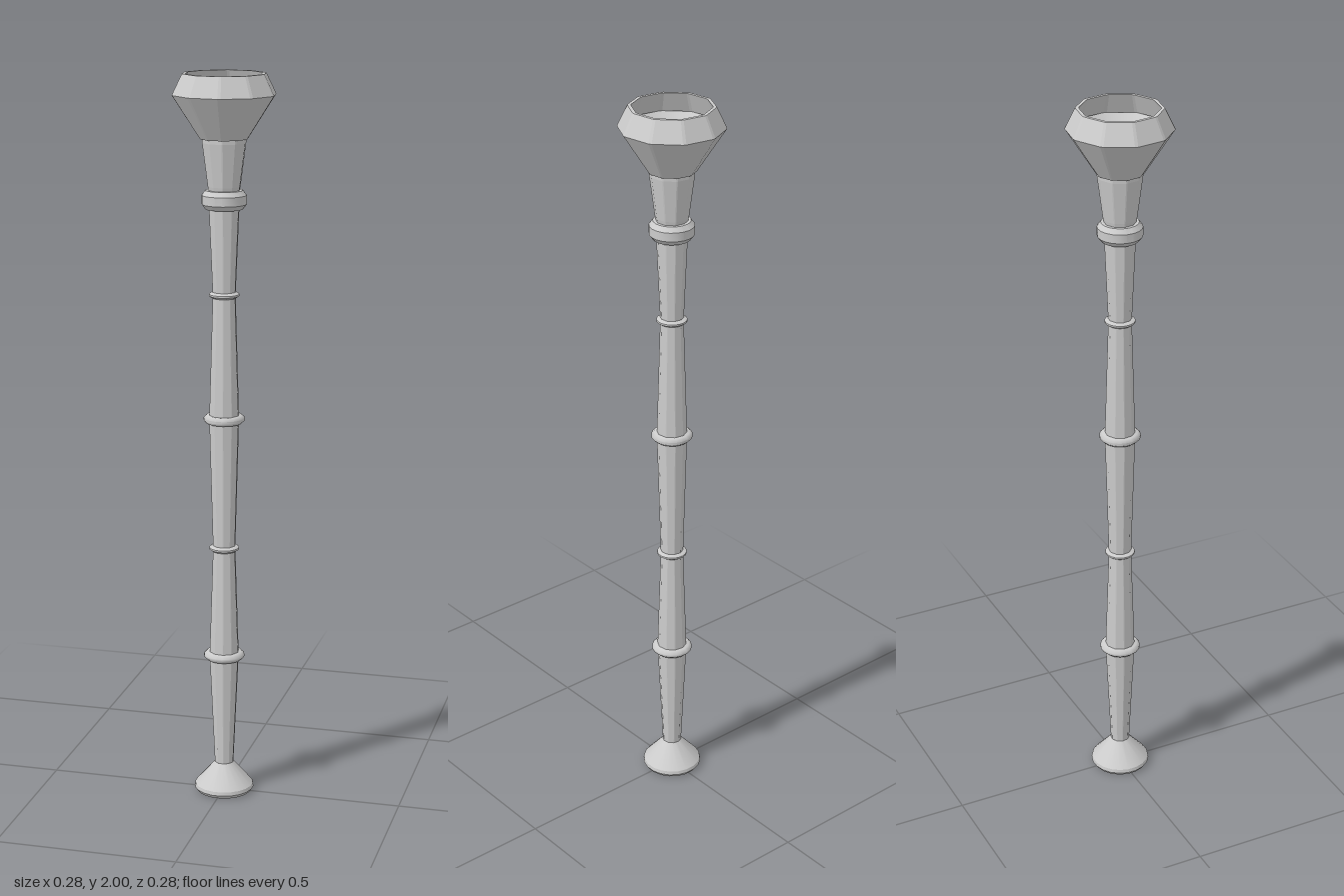
import * as THREE from 'three';
import { toCreasedNormals } from 'three/addons/utils/BufferGeometryUtils.js';

const SIDES = 10;
const START = THREE.MathUtils.degToRad(9);
const STEP = (Math.PI * 2) / SIDES;
const BEVEL = THREE.MathUtils.degToRad(1.8);

const toPoints = (profile) => profile.map(([r, y]) => new THREE.Vector2(r, y));

// Ten-sided turned shape whose upright edges are narrow bevels
function facetedGeometry(profile) {
  const geo = new THREE.LatheGeometry(toPoints(profile), SIDES * 2);
  const pos = geo.attributes.position;
  const rows = profile.length;
  for (let i = 0; i < pos.count; i++) {
    const column = Math.floor(i / rows);
    const r = profile[i % rows][0];
    const angle = START + Math.floor(column / 2) * STEP + (column % 2 ? BEVEL : -BEVEL);
    pos.setX(i, r * Math.sin(angle));
    pos.setZ(i, r * Math.cos(angle));
  }
  return toCreasedNormals(geo, 0.03);
}

// Turned shape, smooth around its axis and sharp at profile corners
function turnedGeometry(profile, segments = 20, crease = 0.45) {
  return toCreasedNormals(new THREE.LatheGeometry(toPoints(profile), segments, START), crease);
}

export function createModel() {
  const group = new THREE.Group();
  const material = new THREE.MeshStandardMaterial({ color: 0xcccccc });
  const add = (name, geometry) => {
    const mesh = new THREE.Mesh(geometry, material);
    mesh.name = name;
    group.add(mesh);
  };

  // Flared foot
  add('foot', turnedGeometry([[0, 0], [0.076, 0], [0.083, 0.01], [0.081, 0.02], [0.026, 0.083], [0, 0.083]]));

  // Tapered shaft sections, bottom to top: [y0, r0, y1, r1]
  const sections = [
    [0.075, 0.026, 0.4, 0.041],
    [0.4, 0.041, 0.71, 0.031],
    [0.71, 0.031, 1.075, 0.041],
    [1.075, 0.041, 1.415, 0.031],
    [1.415, 0.031, 1.65, 0.041],
  ];
  sections.forEach(([y0, r0, y1, r1], i) =>
    add(`shaftSection${i + 1}`, facetedGeometry([[0, y0], [r0, y0], [r1, y1], [0, y1]])));

  // Rings covering the shaft joints: [y, radius, half height]
  const rings = [[0.4, 0.056, 0.011], [0.71, 0.041, 0.008], [1.075, 0.056, 0.011], [1.415, 0.041, 0.008]];
  rings.forEach(([y, r, h], i) =>
    add(`ring${i + 1}`, turnedGeometry([
      [0.025, y - h], [r - 0.008, y - h], [r, y - h * 0.3],
      [r, y + h * 0.3], [r - 0.008, y + h], [0.025, y + h],
    ], 20, 0.9)));

  // Collar below the neck
  add('collar', turnedGeometry([
    [0, 1.645], [0.05, 1.645], [0.06, 1.658], [0.06, 1.682], [0.05, 1.695], [0, 1.695],
  ]));

  // Flared neck
  add('neck', facetedGeometry([
    [0, 1.69], [0.041, 1.69], [0.044, 1.705], [0.059, 1.82], [0.059, 1.832], [0, 1.832],
  ]));

  // Cup shell with an inward rim
  add('cup', facetedGeometry([
    [0, 1.83], [0.064, 1.83], [0.068, 1.836], [0.139, 1.945],
    [0.112, 2], [0.103, 2], [0.126, 1.945],
  ]));

  // Smooth bowl and its flat floor inside the cup
  add('bowl', turnedGeometry([[0.128, 1.945], [0.05, 1.845], [0, 1.845]]));

  return group;
}
